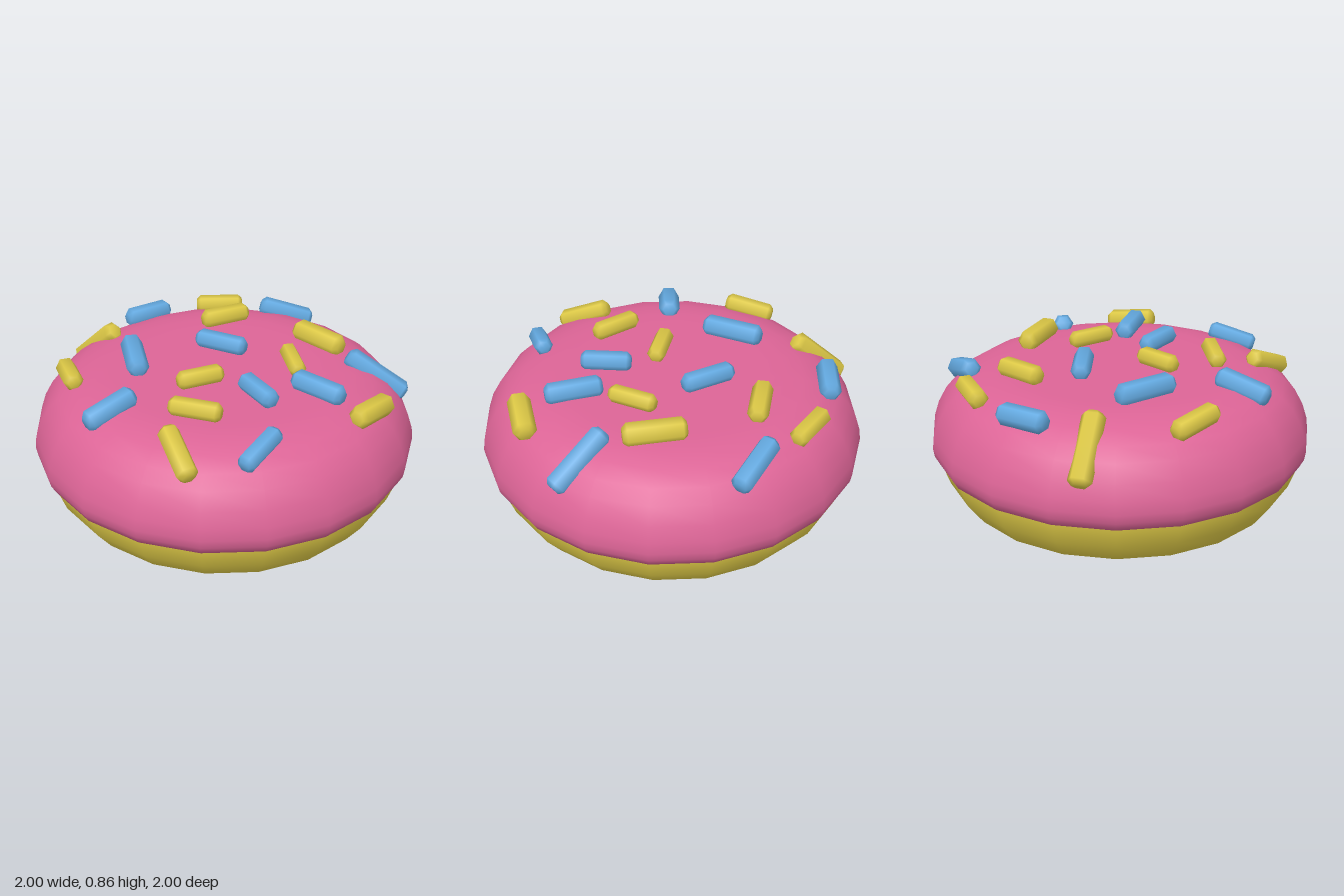
import * as THREE from 'three';

const mat = (name, color) => {
  const m = new THREE.MeshStandardMaterial({ color });
  m.name = name;
  return m;
};

// Icing section from lower lip to the flat top: [radius, height]
const ICING = [
  [0.9, 0.33], [0.97, 0.32], [0.993, 0.365], [1, 0.41], [0.992, 0.47], [0.965, 0.55],
  [0.92, 0.63], [0.86, 0.69], [0.78, 0.735], [0.68, 0.763], [0.58, 0.77], [0.5, 0.77], [0, 0.77],
];

// Bun section from the flat base up to where the icing hides it
const BUN = [
  [0, 0], [0.56, 0], [0.64, 0.004], [0.73, 0.025], [0.84, 0.09], [0.92, 0.2],
  [0.955, 0.3], [0.963, 0.38], [0.945, 0.48], [0.88, 0.58], [0.7, 0.68], [0, 0.7],
];

const lathe = (profile, sides) =>
  new THREE.LatheGeometry(profile.map(([r, y]) => new THREE.Vector2(r, y)), sides);

// Height of the icing's upper surface at a given radius
function icingHeight(r) {
  for (let i = ICING.length - 1; i > 4; i--) {
    const [r0, y0] = ICING[i], [r1, y1] = ICING[i - 1];
    if (r <= r1) return y0 + (y1 - y0) * (r - r0) / (r1 - r0);
  }
  return 0.47;
}

// Sprinkles seen from above: start x, z, end x, z, thickness radius
const BLUE = [
  [-0.34, -0.69, -0.13, -0.89, 0.056], [0.43, -0.49, 0.7, -0.64, 0.058],
  [-0.81, -0.08, -0.75, -0.34, 0.056], [-0.29, -0.11, -0.02, -0.19, 0.052],
  [0.38, -0.11, 0.67, -0.13, 0.056], [-0.52, 0.17, -0.26, 0.36, 0.058],
  [0.2, 0.07, 0.45, 0.14, 0.052], [0.625, 0.32, 0.64, 0.57, 0.05],
  [-0.1, 0.55, -0.15, 0.82, 0.058],
];
const YELLOW = [
  [-0.66, -0.49, -0.47, -0.67, 0.053], [-0.41, -0.28, -0.31, -0.53, 0.053],
  [0.04, -0.55, 0.35, -0.54, 0.06], [0.15, -0.33, 0.35, -0.18, 0.047],
  [0.79, -0.34, 0.8, -0.07, 0.059], [-0.97, 0.14, -0.7, 0.12, 0.06],
  [-0.03, 0.31, 0.07, 0.09, 0.049], [-0.68, 0.5, -0.45, 0.63, 0.052],
  [0.1, 0.5, 0.34, 0.39, 0.05], [0.23, 0.65, 0.48, 0.76, 0.054],
];

// Six-sided rod with bevelled ends, laid along the icing
function sprinkle([x0, z0, x1, z1, r], material) {
  const onIcing = (x, z) => new THREE.Vector3(x, icingHeight(Math.hypot(x, z)) + 0.036, z);
  const a = onIcing(x0, z0), b = onIcing(x1, z1);
  const h = a.distanceTo(b) / 2, bevel = 0.022;
  const geo = lathe([
    [0, -h], [r * 0.62, -h], [r, -h + bevel], [r, 0], [r, h - bevel], [r * 0.62, h], [0, h],
  ], 6);
  const mesh = new THREE.Mesh(geo, material);
  const along = b.clone().sub(a).normalize();
  const centre = a.clone().add(b).multiplyScalar(0.5);
  // a flat side faces away from the icing
  const out = new THREE.Vector3(0, 1, 0).addScaledVector(along, -along.y).normalize();
  const side = new THREE.Vector3().crossVectors(out, along);
  mesh.quaternion.setFromRotationMatrix(new THREE.Matrix4().makeBasis(out, along, side));
  mesh.position.copy(centre);
  mesh.name = 'sprinkle';
  return mesh;
}

export function createModel() {
  const model = new THREE.Group();
  model.name = 'doughnut';
  const pink = mat('pink icing', 0xdc6496);
  const yellow = mat('golden yellow', 0xdcc846);
  const blue = mat('sky blue', 0x64aae1);

  const bun = new THREE.Mesh(lathe(BUN, 20), yellow);
  bun.name = 'bun';
  const icing = new THREE.Mesh(lathe(ICING, 20), pink);
  icing.name = 'icing';
  model.add(bun, icing);

  for (const [name, list, material] of [['blueSprinkles', BLUE, blue], ['yellowSprinkles', YELLOW, yellow]]) {
    const group = new THREE.Group();
    group.name = name;
    list.forEach((s) => group.add(sprinkle(s, material)));
    model.add(group);
  }
  return model;
}
